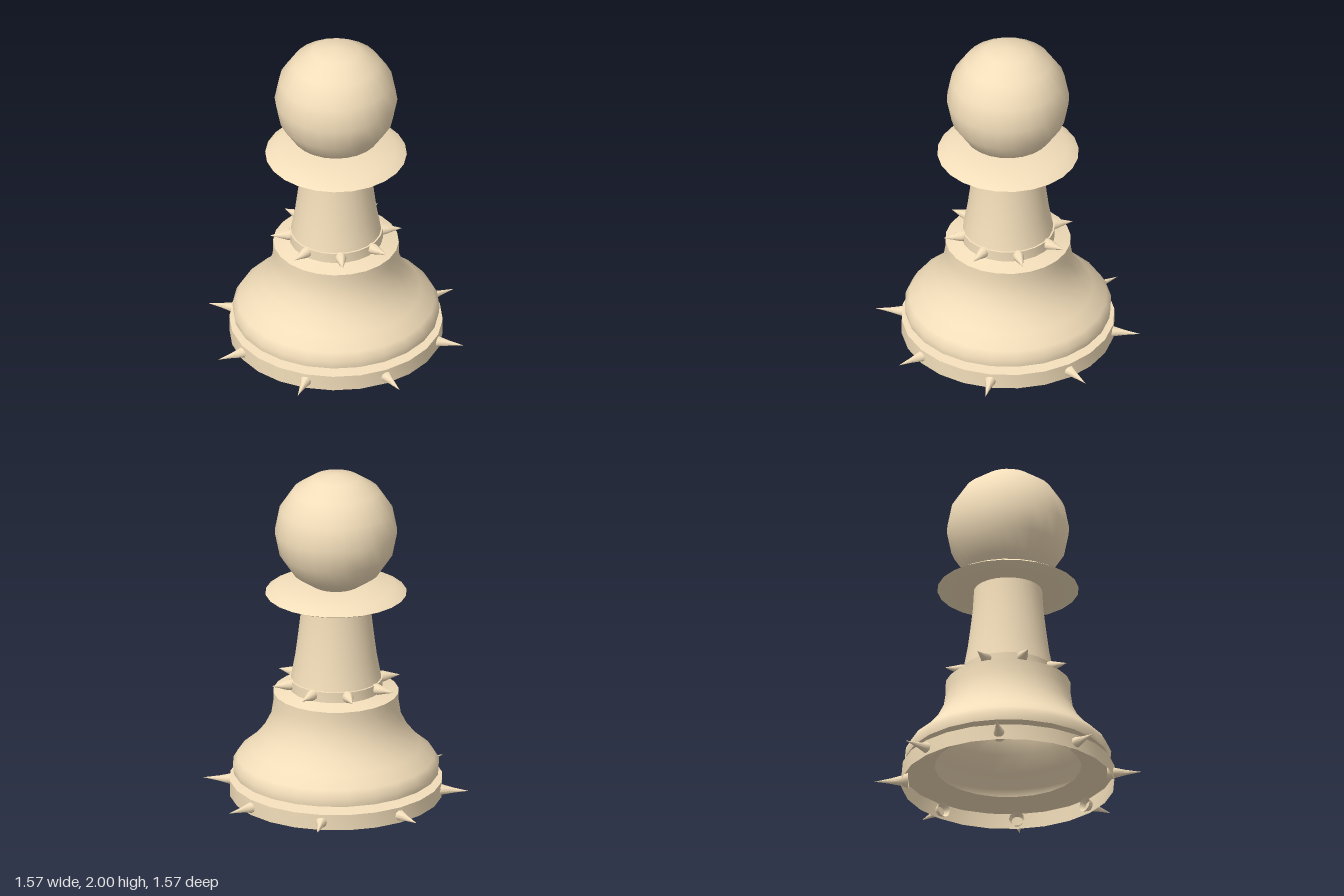
import * as THREE from 'three';
import { toCreasedNormals } from 'three/addons/utils/BufferGeometryUtils.js';

// The base and body form a thin shell, open underneath
const material = new THREE.MeshStandardMaterial({ color: 0xf3deba, side: THREE.DoubleSide });
const SIDES = 24;

// Turned part from [radius, height] points, listed bottom to top on the outside
function turned(name, points, sides = SIDES) {
  const profile = points.map(([r, y]) => new THREE.Vector2(r, y));
  const geometry = toCreasedNormals(new THREE.LatheGeometry(profile, sides), 0.8);
  const mesh = new THREE.Mesh(geometry, material);
  mesh.name = name;
  return mesh;
}

// Ring of eight outward-pointing spikes; profile is [radius, distance from axis]
function spikeRing(name, profile, y, offset) {
  const ring = new THREE.Group();
  ring.name = name;
  for (let i = 0; i < 8; i++) {
    const spike = turned('spike', profile, 10);
    spike.rotation.z = -Math.PI / 2;
    const arm = new THREE.Group();
    arm.rotation.y = offset + (i * Math.PI) / 4;
    arm.position.y = y;
    arm.add(spike);
    ring.add(arm);
  }
  return ring;
}

export function createModel() {
  const model = new THREE.Group();
  model.name = 'spikedPawn';

  // Open-bottomed base ring, closing in to the groove
  model.add(turned('base', [[0.625, 0], [0.625, 0.095], [0.43, 0.115]]));

  // Hollow bell-shaped body, from the groove up to the sloping shoulder
  model.add(turned('body', [
    [0.43, 0.115], [0.602, 0.138], [0.607, 0.185], [0.58, 0.232], [0.5, 0.3],
    [0.43, 0.385], [0.382, 0.48], [0.368, 0.57], [0.368, 0.638], [0.272, 0.662],
  ]));

  // Band carrying the small spikes, then the tapering stem
  model.add(turned('band', [[0.274, 0.66], [0.274, 0.725], [0.255, 0.727]]));
  model.add(turned('stem', [
    [0.265, 0.725], [0.24, 0.86], [0.222, 1.0], [0.208, 1.12], [0.2, 1.25],
  ]));

  // Thin collar under the head
  model.add(turned('collar', [
    [0.18, 1.242], [0.385, 1.242], [0.415, 1.256], [0.352, 1.292], [0.13, 1.31], [0, 1.31],
  ]));

  // Ball head, coarser from pole to pole
  const head = new THREE.Mesh(new THREE.SphereGeometry(0.36, SIDES, 8), material);
  head.name = 'head';
  head.position.y = 1.64;
  model.add(head);

  model.add(spikeRing('baseSpikes',
    [[0.046, 0.585], [0.03, 0.63], [0.016, 0.69], [0, 0.785]], 0.046, 0));
  model.add(spikeRing('bandSpikes',
    [[0.034, 0.25], [0.031, 0.29], [0.018, 0.33], [0, 0.388]], 0.698, Math.PI / 8));

  return model;
}
